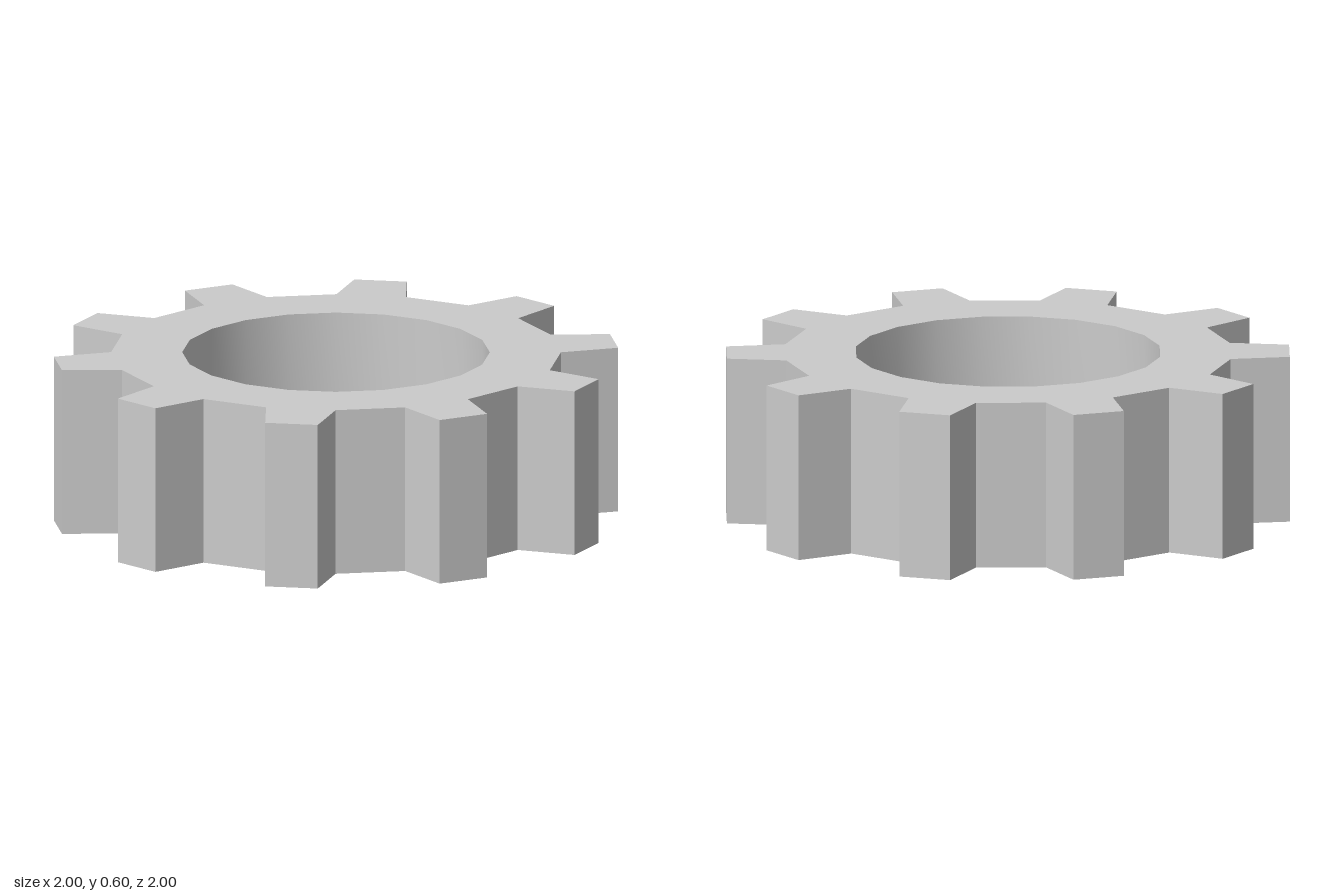
import * as THREE from 'three';
import { toCreasedNormals } from 'three/addons/utils/BufferGeometryUtils.js';

const TEETH = 10;
const HEIGHT = 0.6;
const ROOT_RADIUS = 0.797;
const TIP_RADIUS = 1.002;
const BORE_RADIUS = 0.545;
const BORE_SIDES = 20;

const polar = (radius, degrees) => {
  const a = THREE.MathUtils.degToRad(degrees);
  return new THREE.Vector2(radius * Math.cos(a), radius * Math.sin(a));
};

export function createModel() {
  const group = new THREE.Group();
  group.name = 'gear';

  // Outline: each tooth tapers from its root to a narrower flat tip
  const outline = [];
  const pitch = 360 / TEETH;
  for (let i = 0; i < TEETH; i++) {
    const start = i * pitch;
    outline.push(
      polar(ROOT_RADIUS, start),
      polar(TIP_RADIUS, start + pitch * 0.1),
      polar(TIP_RADIUS, start + pitch * 0.4),
      polar(ROOT_RADIUS, start + pitch * 0.5)
    );
  }
  const shape = new THREE.Shape(outline);

  // Round bore through the middle
  const bore = [];
  for (let i = 0; i < BORE_SIDES; i++) bore.push(polar(BORE_RADIUS, (-i * 360) / BORE_SIDES));
  shape.holes.push(new THREE.Path(bore));

  // Lay flat on the ground; the bore wall is smooth, the teeth stay sharp
  const extruded = new THREE.ExtrudeGeometry(shape, { depth: HEIGHT, bevelEnabled: false });
  extruded.rotateX(-Math.PI / 2);
  const gear = new THREE.Mesh(
    toCreasedNormals(extruded, THREE.MathUtils.degToRad(25)),
    new THREE.MeshStandardMaterial({ color: 0xcccccc })
  );
  gear.name = 'gearRing';
  group.add(gear);
  return group;
}
